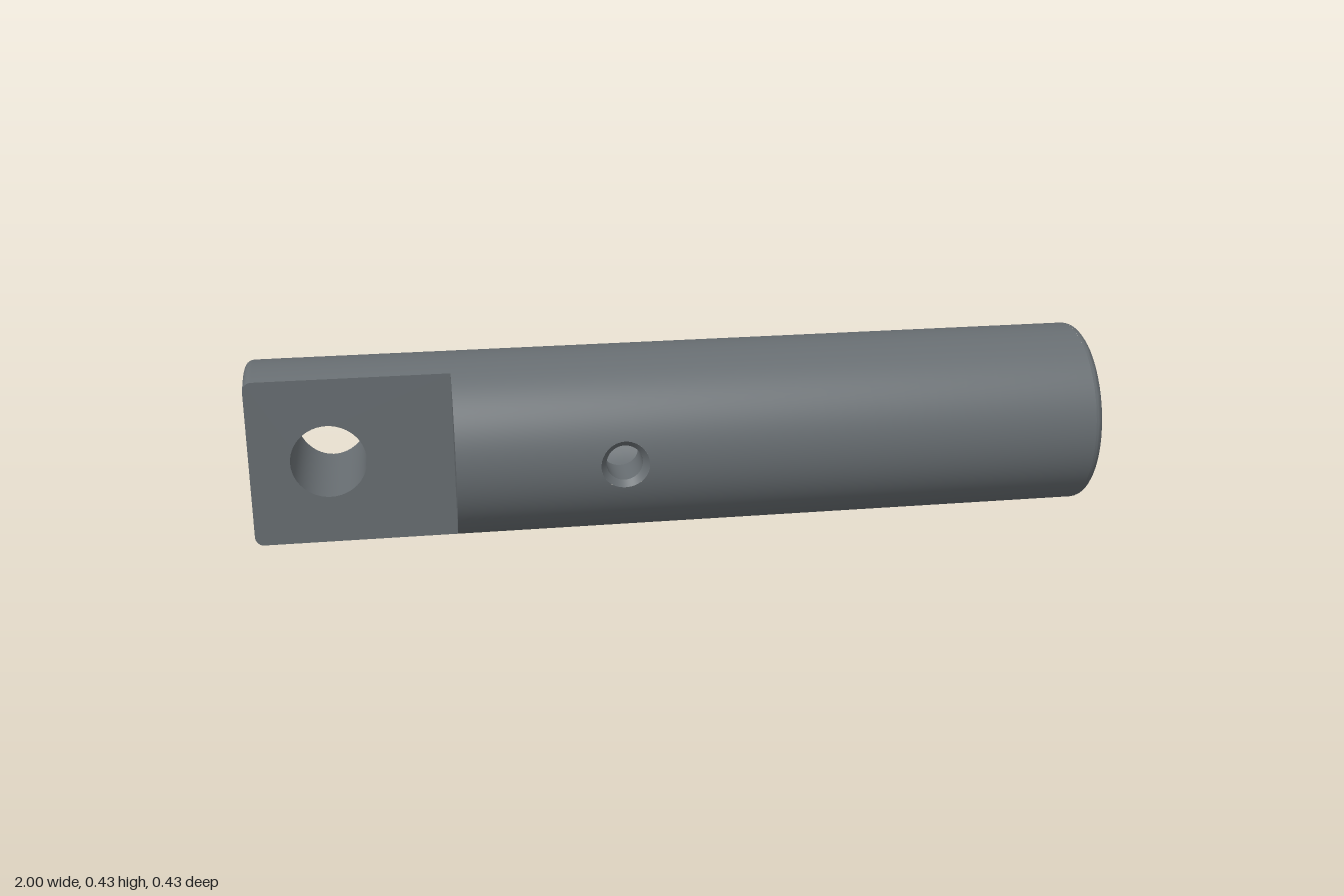
import * as THREE from 'three';
import { ParametricGeometry } from 'three/addons/geometries/ParametricGeometry.js';
import { toCreasedNormals } from 'three/addons/utils/BufferGeometryUtils.js';

const R = 0.217;         // rod radius
const FILLET = 0.02;     // rounding of both ends
const FLAT_Z = 0.086;    // height of the milled flat
const STEP_X = -0.533;   // where the flat ends
const BORE_R = 0.11, BORE_END = -0.3, SINK_R = 0.155, SINK_X = 1 - (SINK_R - BORE_R);
const PIN = { x: -0.82, r: 0.087 };                   // cross hole in the flat
const SCREW = { x: -0.148, r: 0.056, inner: 0.042 };  // small hole in the front

const material = new THREE.MeshStandardMaterial({ color: 0x676d71 });

const loft = (fn, nu, nv) => new ParametricGeometry((u, v, p) => p.set(...fn(u, v)), nu, nv);
const flatAngle = (r) => Math.acos(FLAT_Z / r);
const depth = (r, y) => Math.sqrt(r * r - y * y);
const TAU = Math.PI * 2;

// Cylinder wall along x, over a range of x and angle, with a round hole at (xc, tc).
// Lines run from the hole's rim out to the border of the range.
function holedWall(r, x0, x1, t0, t1, xc, tc, holeR, inward) {
  return loft((u, v) => {
    const s = (inward ? u : 1 - u) * 4;
    const side = Math.floor(s) % 4, k = (s - Math.floor(s)) * 2 - 1;
    const [a, b] = [[1, k], [-k, 1], [-1, -k], [k, -1]][side];
    const len = Math.hypot(a, b);
    const hx = xc + holeR * a / len;
    const ht = tc + Math.asin(holeR * b / len / r);
    const x = THREE.MathUtils.lerp(hx, a > 0 ? xc + a * (x1 - xc) : xc - a * (x0 - xc), v);
    const t = THREE.MathUtils.lerp(ht, b > 0 ? tc + b * (t1 - tc) : tc - b * (t0 - tc), v);
    return [x, r * Math.sin(t), r * Math.cos(t)];
  }, 128, 28);
}

// Back of the rod, from flat edge round to flat edge; profile(v) gives x and radius
function backWall(profile, steps) {
  return loft((u, v) => {
    const { x, r } = profile(v);
    const t = THREE.MathUtils.lerp(TAU - flatAngle(r), flatAngle(r), u);
    return [x, r * Math.sin(t), r * Math.cos(t)];
  }, 32, steps);
}

// Inward-facing wall of a hole along z; each end has a radius and a z depending on y
function holeWall(xc, r0, z0, r1, z1) {
  return loft((u, v) => {
    const c = Math.cos(u * TAU), s = Math.sin(u * TAU);
    const r = THREE.MathUtils.lerp(r0, r1, v);
    return [xc + r * c, r * s, THREE.MathUtils.lerp(z0(r0 * s), z1(r1 * s), v)];
  }, 48, 2);
}

// Rounded profile of the left end: k = 0 at the end face, 1 at the rod wall
function filletAt(k) {
  const a = k * Math.PI / 2;
  return { x: -1 + FILLET * (1 - Math.cos(a)), r: R - FILLET * (1 - Math.sin(a)) };
}

export function createModel() {
  const group = new THREE.Group();
  const rod = new THREE.Group();
  rod.name = 'rod';
  rod.position.y = R;
  group.add(rod);
  const add = (name, geometry) => {
    const mesh = new THREE.Mesh(geometry, material);
    mesh.name = name;
    rod.add(mesh);
  };

  // Outer walls: half-cut tongue, then front and back of the round sleeve
  const t0 = flatAngle(R);
  add('tongueWall', holedWall(R, -1 + FILLET, STEP_X, t0, TAU - t0, PIN.x, Math.PI, PIN.r, false));
  add('sleeveFront', holedWall(R, STEP_X, 1 - FILLET, -t0, t0, SCREW.x, 0, SCREW.r, false));
  add('sleeveBack', backWall((v) => ({ x: THREE.MathUtils.lerp(STEP_X, 1 - FILLET, v), r: R }), 8));

  // Rounded edge of the tongue's end
  add('tongueEdge', backWall(filletAt, 6));

  // End face of the tongue and step face of the sleeve, drawn as z, y
  const endR = R - FILLET, endT = flatAngle(endR);
  const endShape = new THREE.Shape().absarc(0, 0, endR, endT, TAU - endT, false);
  add('tongueEnd', new THREE.ShapeGeometry(endShape, 16).rotateY(-Math.PI / 2).translate(-1, 0, 0));
  const stepShape = new THREE.Shape().absarc(0, 0, R, -t0, t0, false);
  add('stepFace', new THREE.ShapeGeometry(stepShape, 16).rotateY(-Math.PI / 2).translate(STEP_X, 0, 0));

  // Milled flat with the cross hole
  const corner = [];
  for (let i = 0; i <= 6; i++) {
    const { x, r } = filletAt(i / 6);
    corner.push(new THREE.Vector2(x, depth(r, FLAT_Z)));
  }
  corner.push(new THREE.Vector2(STEP_X, depth(R, FLAT_Z)));
  const lower = corner.map((p) => new THREE.Vector2(p.x, -p.y));
  const flatShape = new THREE.Shape([...lower, ...corner.reverse()]);
  flatShape.holes.push(new THREE.Path().absarc(PIN.x, 0, PIN.r, 0, TAU, true));
  add('flatFace', new THREE.ShapeGeometry(flatShape, 24).translate(0, 0, FLAT_Z));
  add('crossHole', holeWall(PIN.x, PIN.r, () => FLAT_Z, PIN.r, (y) => -depth(R, y)));

  // Small countersunk hole from the front into the bore
  const neckZ = R - 0.02;
  add('screwHoleRim', holeWall(SCREW.x, SCREW.r, (y) => depth(R, y), SCREW.inner, () => neckZ));
  add('screwHole', holeWall(SCREW.x, SCREW.inner, () => neckZ, SCREW.inner, (y) => depth(BORE_R, y)));

  // Sleeve mouth: rounded edge, ring face and countersink
  const mouth = [];
  for (let i = 6; i >= 0; i--) {
    const { x, r } = filletAt(i / 6);
    mouth.push(new THREE.Vector2(r, -x));
  }
  mouth.push(new THREE.Vector2(SINK_R, 1), new THREE.Vector2(BORE_R, SINK_X));
  add('sleeveMouth', toCreasedNormals(new THREE.LatheGeometry(mouth, 64).rotateZ(-Math.PI / 2), 0.6));

  // Blind bore
  add('boreWall', holedWall(BORE_R, BORE_END, SINK_X, -Math.PI, Math.PI, SCREW.x, 0, SCREW.inner, true));
  add('boreFloor', new THREE.CircleGeometry(BORE_R, 64).rotateY(Math.PI / 2).translate(BORE_END, 0, 0));

  return group;
}
